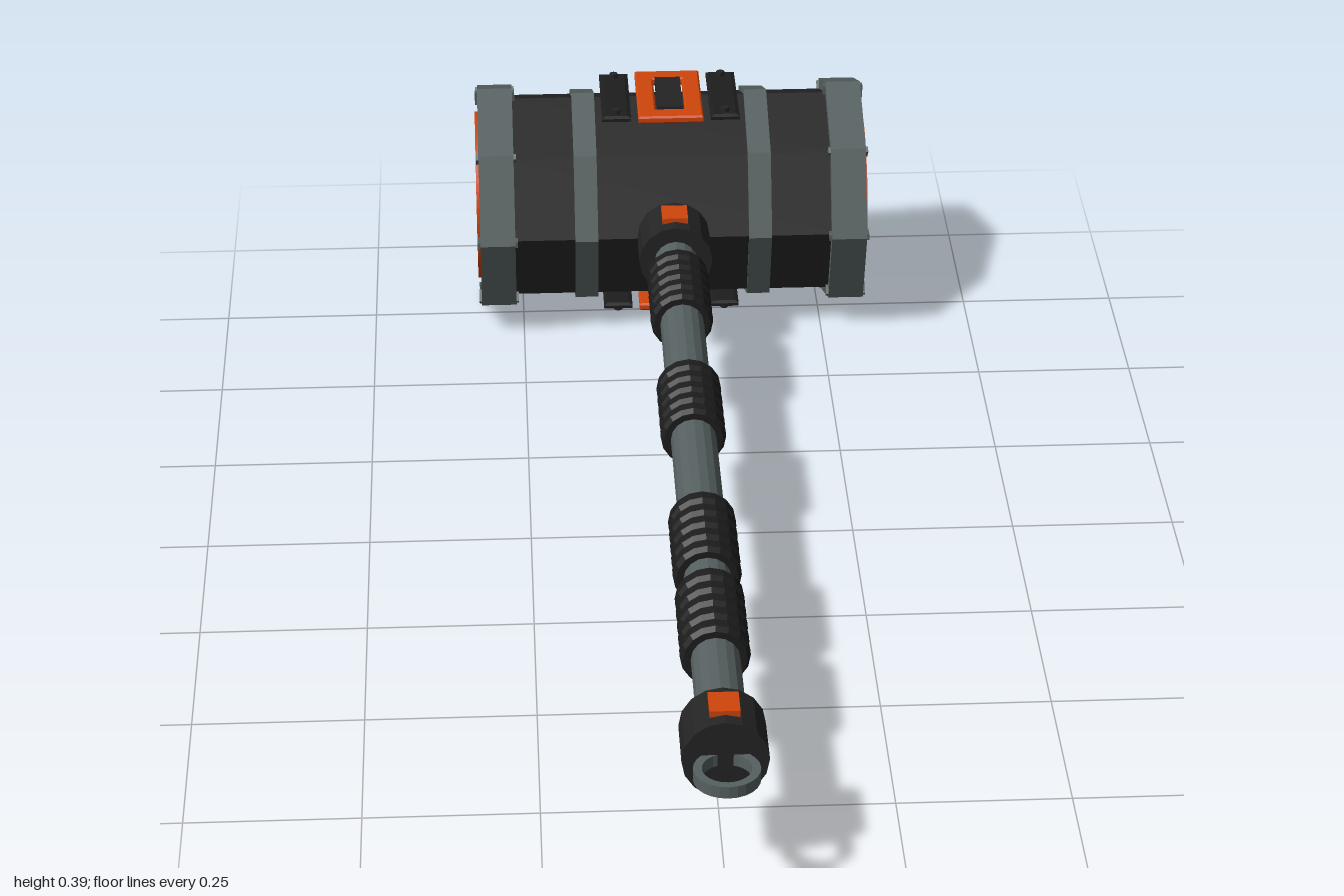
import * as THREE from 'three';

const CY = 0.198; // height of the shaft and head axis
const HZ = -0.806; // head centre

export function createModel() {
  const mat = (name, color, extra = {}) => {
    const m = new THREE.MeshStandardMaterial({ color, ...extra });
    m.name = name;
    return m;
  };
  const flat = { flatShading: true };
  const dark = mat('charcoal', 0x242424, flat);
  const black = mat('blackRubber', 0x1d1d1d, flat);
  const grey = mat('steelGrey', 0x566060, flat);
  const orange = mat('orange', 0xd0450c, flat);

  const model = new THREE.Group();
  model.name = 'warHammer';
  const add = (parent, name, geo, m, x = 0, y = 0, z = 0) => {
    const mesh = new THREE.Mesh(geo, m);
    mesh.name = name;
    mesh.position.set(x, y, z);
    parent.add(mesh);
    return mesh;
  };
  const cylX = (r, len, n) => new THREE.CylinderGeometry(r, r, len, n).rotateZ(Math.PI / 2);
  const cylZ = (r, len, n) => new THREE.CylinderGeometry(r, r, len, n).rotateX(Math.PI / 2);
  const ring = (outer, inner, depth, n) => {
    const s = new THREE.Shape().absarc(0, 0, outer, 0, Math.PI * 2);
    s.holes.push(new THREE.Path().absarc(0, 0, inner, 0, Math.PI * 2, true));
    return new THREE.ExtrudeGeometry(s, { depth, bevelEnabled: false, curveSegments: n })
      .translate(0, 0, -depth / 2);
  };
  const rect = (p, w, h) => p.moveTo(-w, -h).lineTo(w, -h).lineTo(w, h).lineTo(-w, h).closePath();

  // Octagonal head, one corner straight up
  const head = new THREE.Group();
  head.name = 'head';
  head.position.set(0, CY, HZ);
  model.add(head);
  add(head, 'headBody', cylX(0.177, 0.56, 8), dark);

  for (const s of [-1, 1]) {
    add(head, 'headBand', cylX(0.185, 0.038, 8), grey, s * 0.144);
    add(head, 'endCap', cylX(0.196, 0.058, 8), grey, s * 0.291);
    add(head, 'strikingFace', cylX(0.128, 0.006, 32), dark, s * 0.319);
    add(head, 'faceRing', ring(0.14, 0.122, 0.012, 32).rotateY(Math.PI / 2), orange, s * 0.319);
    // Clamps through the corners of each cap
    for (let i = 0; i < 8; i++) {
      const a = (i * Math.PI) / 4;
      const clamp = add(head, 'cornerClamp', new THREE.BoxGeometry(0.066, 0.022, 0.01), grey,
        s * 0.291, Math.cos(a) * 0.18, Math.sin(a) * 0.18);
      clamp.rotation.x = a;
    }
  }

  // Framed panel and bolted rails, above and below
  const frameShape = rect(new THREE.Shape(), 0.051, 0.088);
  frameShape.holes.push(rect(new THREE.Path(), 0.027, 0.062));
  const frameGeo = new THREE.ExtrudeGeometry(frameShape, {
    depth: 0.007, bevelThickness: 0.003, bevelSize: 0.003, bevelSegments: 1,
  }).rotateX(-Math.PI / 2);
  const railShape = rect(new THREE.Shape(), 0.018, 0.082);
  const railGeo = new THREE.ExtrudeGeometry(railShape, {
    depth: 0.005, bevelThickness: 0.003, bevelSize: 0.006, bevelSegments: 1,
  }).rotateX(-Math.PI / 2);
  for (const turn of [0, Math.PI]) {
    const panel = new THREE.Group();
    panel.name = turn ? 'bottomPanel' : 'topPanel';
    panel.rotation.z = turn;
    head.add(panel);
    add(panel, 'panelFrame', frameGeo, orange, 0, 0.171);
    add(panel, 'panelBar', new THREE.BoxGeometry(0.042, 0.016, 0.116), dark, 0, 0.176);
    for (const s of [-1, 1]) {
      add(panel, 'sideRail', railGeo, black, s * 0.09, 0.172);
      for (const t of [-1, 1])
        add(panel, 'railBolt', new THREE.CylinderGeometry(0.007, 0.007, 0.014, 8), dark, s * 0.09, 0.18, t * 0.07);
    }
  }

  // Shaft
  const handle = new THREE.Group();
  handle.name = 'handle';
  handle.position.y = CY;
  model.add(handle);
  add(handle, 'shaft', cylZ(0.035, 1.52, 16), grey, 0, 0, 0.11);

  // Ribbed grips
  const ribs = 5, len = 0.172, step = len / ribs;
  const profile = [new THREE.Vector2(0, -len / 2)];
  for (let i = 0; i < ribs; i++) {
    const y = -len / 2 + i * step;
    profile.push(new THREE.Vector2(0.045, y), new THREE.Vector2(0.05, y + step * 0.25),
      new THREE.Vector2(0.05, y + step * 0.75), new THREE.Vector2(0.045, y + step));
  }
  profile.push(new THREE.Vector2(0, len / 2));
  const gripGeo = new THREE.LatheGeometry(profile, 16).rotateX(Math.PI / 2);
  for (const z of [-0.413, -0.04, 0.366, 0.582]) add(handle, 'grip', gripGeo, black, 0, 0, z);

  // Collar at the head and pommel at the end, each with two orange plates
  for (const [name, z, l] of [['collar', -0.593, 0.094], ['pommel', 0.878, 0.088]]) {
    add(handle, name, cylZ(0.06, l, 16), dark, 0, 0, z);
    for (const s of [-1, 1])
      add(handle, name + 'Plate', new THREE.BoxGeometry(0.042, 0.012, 0.048), orange, 0, s * 0.06, z);
  }

  // Hanging ring
  add(handle, 'hangingRing', ring(0.046, 0.034, 0.018, 12).rotateX(Math.PI / 2), grey, 0, 0, 0.954);
  return model;
}
